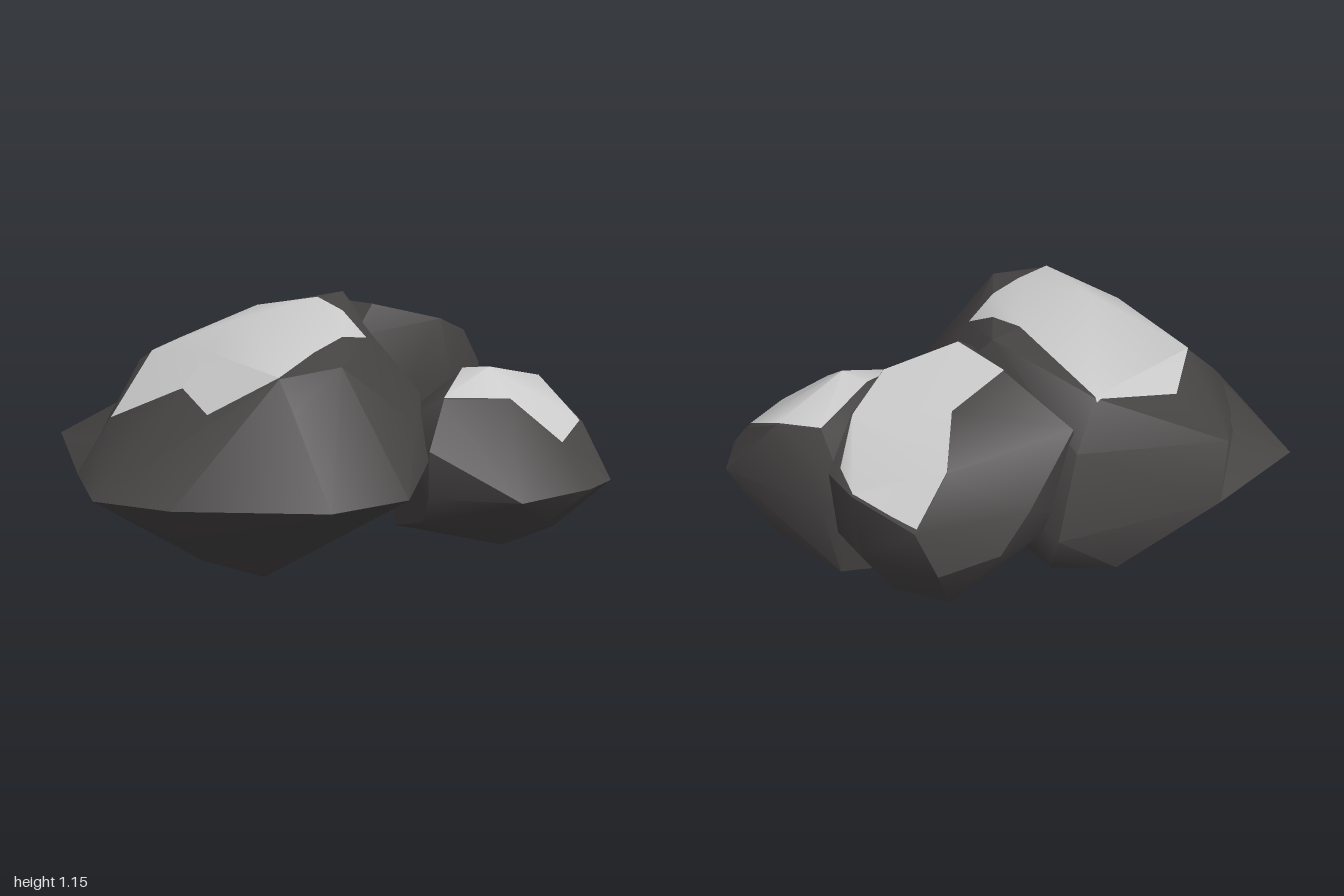
import * as THREE from 'three';
import { ConvexGeometry } from 'three/addons/geometries/ConvexGeometry.js';
import { toCreasedNormals } from 'three/addons/utils/BufferGeometryUtils.js';

const stone = new THREE.MeshStandardMaterial({ color: 0x474444 });
const light = new THREE.MeshStandardMaterial({ color: 0xcccccc });
const CREASE = 0.65;
const LIFT = 0.006;

// Keep the part of an xz outline on the inner side of edge a-b
function clipByEdge(outline, a, b, inner) {
  const side = (p) => (b.x - a.x) * (p.y - a.z) - (b.z - a.z) * (p.x - a.x);
  const sign = Math.sign(side(new THREE.Vector2(inner.x, inner.z)));
  const kept = [];
  outline.forEach((p, i) => {
    const q = outline[(i + 1) % outline.length];
    const sp = side(p) * sign, sq = side(q) * sign;
    if (sp >= 0) kept.push(p);
    if (sp * sq < 0) kept.push(p.clone().lerp(q, sp / (sp - sq)));
  });
  return kept;
}

// Drape an xz outline over the upward faces of a rock
function drape(rock, outline) {
  const pos = rock.attributes.position, out = [];
  const tri = new THREE.Triangle(), n = new THREE.Vector3();
  for (let i = 0; i < pos.count; i += 3) {
    tri.setFromAttributeAndIndices(pos, i, i + 1, i + 2);
    tri.getNormal(n);
    if (n.y < 0.05) continue;
    const { a, b, c } = tri;
    let poly = outline.map(([x, z]) => new THREE.Vector2(x, z));
    for (const [p, q, r] of [[a, b, c], [b, c, a], [c, a, b]]) poly = clipByEdge(poly, p, q, r);
    if (poly.length < 3) continue;
    const onFace = (p) => [p.x, a.y - (n.x * (p.x - a.x) + n.z * (p.y - a.z)) / n.y + LIFT, p.y];
    for (const f of THREE.ShapeUtils.triangulateShape(poly, [])) {
      const [p, q, r] = f.map((k) => poly[k]);
      const area = (q.x - p.x) * (r.y - p.y) - (q.y - p.y) * (r.x - p.x);
      if (Math.abs(area) < 1e-7) continue;
      // Wind every triangle so that it faces up
      for (const v of area < 0 ? [p, q, r] : [p, r, q]) out.push(...onFace(v));
    }
  }
  const geo = new THREE.BufferGeometry();
  geo.setAttribute('position', new THREE.Float32BufferAttribute(out, 3));
  return toCreasedNormals(geo, CREASE);
}

const hullOf = (corners) => new ConvexGeometry(corners.map((p) => new THREE.Vector3(...p)));

function stoneMesh(name, hull) {
  const mesh = new THREE.Mesh(toCreasedNormals(hull, CREASE), stone);
  mesh.name = name;
  return mesh;
}

// A faceted boulder with a pale patch on top
function boulder(name, corners, patch) {
  const group = new THREE.Group();
  group.name = name;
  const hull = hullOf(corners);
  const top = new THREE.Mesh(drape(hull, patch), light);
  top.name = name + 'Top';
  group.add(stoneMesh(name + 'Body', hull), top);
  return group;
}

export function createModel() {
  const model = new THREE.Group();
  model.name = 'rockCluster';

  const largeRock = boulder('largeRock', [
    // crown
    [-0.13, 1.15, -0.3], [-0.56, 1.03, -0.18], [-0.1, 1.12, 0.27], [0.2, 1.03, -0.13],
    [-0.63, 0.93, 0.19], [-0.46, 0.95, 0.46], [-0.06, 1.02, 0.47], [0.38, 1.01, 0.48],
    [0.46, 1.03, 0.24], [0.46, 0.88, 0.47],
    // shoulders
    [-0.87, 0.8, 0.24], [-0.39, 0.72, 0.73], [0.16, 0.79, 0.66], [0.52, 0.75, -0.1],
    [-0.59, 0.85, -0.3],
    // widest ring
    [-0.91, 0.57, 0.17], [-0.37, 0.54, 0.9], [-0.11, 0.52, 1],
    [0.22, 0.54, 0.87], [0.65, 0.55, 0.46], [0.75, 0.56, 0.16], [0.51, 0.58, -0.19],
    [0.2, 0.75, -0.44], [-0.6, 0.5, -0.4],
    // underside
    [-0.37, 0.34, 0.73], [0.1, 0.34, 0.73], [-0.69, 0.31, -0.17], [-0.37, 0.14, 0.45],
    [-0.1, 0.14, 0.49], [0.29, 0.24, 0.3], [-0.06, 0, 0.2], [-0.1, 0.16, -0.18],
    [-0.48, 0.27, -0.32], [0.3, 0.33, -0.22],
  ], [
    [-0.57, -0.18], [0.2, -0.13], [0.38, 0.48], [0.16, 0.65],
    [-0.06, 0.6], [-0.39, 0.72], [-0.46, 0.46], [-0.64, 0.19],
  ]);
  // Pointed spur on the front corner, set off by a shallow valley
  largeRock.add(stoneMesh('largeRockSpur', hullOf([
    [-0.86, 0.55, 0.67], [-0.91, 0.57, 0.17], [-0.37, 0.54, 0.9], [-0.72, 0.68, 0.46],
    [-0.42, 0.66, 0.75], [-0.69, 0.31, -0.17], [-0.37, 0.14, 0.45], [-0.37, 0.34, 0.73],
    [-0.3, 0.5, 0.3],
  ])));
  model.add(largeRock);

  model.add(boulder('backRock', [
    // crown, sloping down to the back
    [0, 1.11, -0.35], [-0.26, 1.09, -0.36], [-0.26, 1.02, -0.62], [0.14, 1.03, -0.62],
    [-0.4, 0.89, -0.77], [0.09, 0.94, -0.82], [-0.4, 0.7, -0.93], [-0.13, 0.76, -1],
    [0.05, 0.76, -0.97], [0.05, 1, -0.2],
    // sides
    [-0.55, 0.93, -0.28], [-0.58, 0.7, -0.53], [-0.56, 0.55, -0.66], [-0.45, 0.5, -0.87],
    [-0.13, 0.48, -0.98], [0.05, 0.48, -0.95], [0.19, 0.75, -0.65], [0.16, 0.8, -0.42],
    [0.07, 0.6, -0.18], [-0.5, 0.5, -0.25],
    // underside
    [-0.3, 0.2, -0.7], [-0.08, 0.2, -0.8], [0.08, 0.24, -0.6], [-0.2, 0.22, -0.3],
  ], [
    [-0.4, -0.92], [-0.3, -0.95], [-0.13, -0.995], [0, -0.95], [0.08, -0.82],
    [0.135, -0.62], [0, -0.36], [-0.26, -0.36], [-0.26, -0.62], [-0.4, -0.77],
  ]));

  model.add(boulder('sideRock', [
    // crown
    [0.44, 0.79, -0.34], [0.34, 0.86, -0.55], [0.45, 0.88, -0.59], [0.6, 0.78, -0.56],
    [0.28, 0.79, -0.83], [0.44, 0.78, -0.93], [0.7, 0.64, -0.91], [0.8, 0.62, -0.66],
    // sides
    [0.86, 0.45, -0.36], [0.91, 0.44, -0.72], [0.91, 0.45, -0.85], [0.75, 0.45, -1],
    [0.2, 0.5, -0.92], [0.11, 0.55, -0.85], [0.52, 0.62, -0.18], [0.52, 0.42, -0.18],
    [0.15, 0.6, -0.3],
    // underside
    [0.81, 0.3, -0.56], [0.7, 0.3, -0.91], [0.6, 0.15, -0.88], [0.6, 0.15, -0.55],
    [0.2, 0.15, -0.85], [0.1, 0.15, -0.7], [0.14, 0.15, -0.37], [0.42, 0.27, -0.25],
  ], [
    [0.28, -0.83], [0.44, -0.925], [0.7, -0.89], [0.8, -0.66],
    [0.6, -0.56], [0.44, -0.34], [0.34, -0.55],
  ]));

  return model;
}
